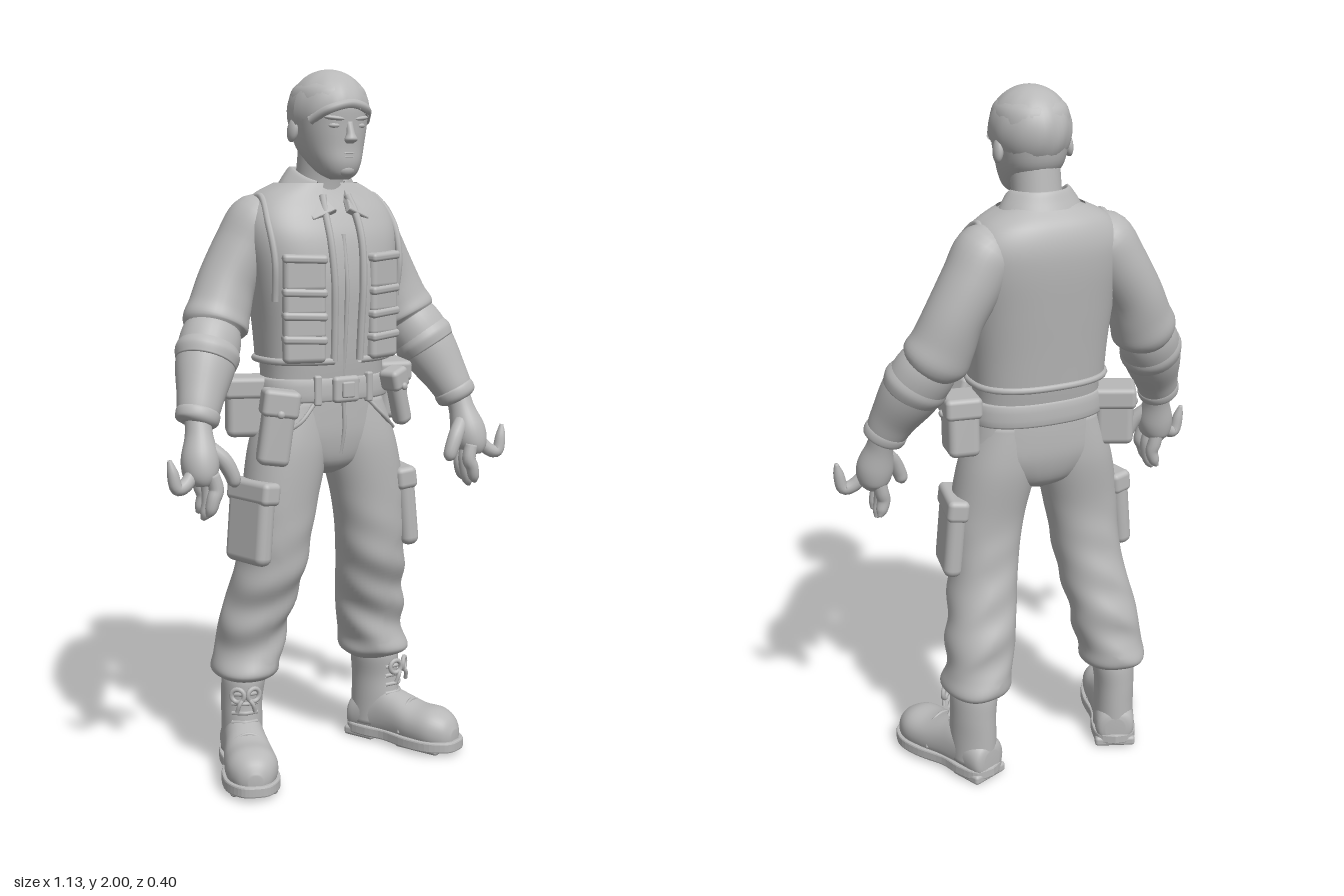
import * as THREE from 'three';
import { RoundedBoxGeometry } from 'three/addons/geometries/RoundedBoxGeometry.js';

const clay = new THREE.MeshStandardMaterial({ color: 0xb8b8b8, side: THREE.DoubleSide });
clay.name = 'plain grey';
const V3 = (x, y, z) => new THREE.Vector3(x, y, z);
const UP = V3(0, 1, 0);
const TAU = Math.PI * 2;

function mesh(name, geometry, x = 0, y = 0, z = 0, rx = 0, ry = 0, rz = 0) {
  const m = new THREE.Mesh(geometry, clay);
  m.name = name;
  m.position.set(x, y, z);
  m.rotation.set(rx, ry, rz);
  return m;
}
const box = (w, h, d, r = 0.012) => new RoundedBoxGeometry(w, h, d, 3, Math.min(r, w / 2.1, h / 2.1, d / 2.1));
const ball = (rx, ry, rz) => new THREE.SphereGeometry(1, 20, 14).scale(rx, ry, rz);
const tube = (pts, r, closed = false) =>
  new THREE.TubeGeometry(new THREE.CatmullRomCurve3(pts.map((p) => (p.isVector3 ? p : V3(...p))), closed), 40, r, 8, closed);

// point on a superellipse ring; row = [x, y, z, radius u, radius v]
function ringPoint(row, a, p = 2, U = V3(1, 0, 0), V = V3(0, 0, 1)) {
  const f = (c) => Math.sign(c) * Math.abs(c) ** (2 / p);
  return V3(row[0], row[1], row[2]).addScaledVector(U, row[3] * f(Math.cos(a))).addScaledVector(V, row[4] * f(Math.sin(a)));
}

// smooth skin through rings; dir fixes the ring normal, otherwise it follows the path
function loft(rows, { dir = null, steps = 5, seg = 32, p = 2, a0 = 0, a1 = TAU, warp = null } = {}) {
  const n = (rows.length - 1) * steps, closed = a1 - a0 > TAU - 1e-6, cols = closed ? seg : seg + 1;
  const at = (t) => {
    const i = Math.min(Math.floor(t), rows.length - 2), f = t - i;
    const [A, B, C, D] = [-1, 0, 1, 2].map((k) => rows[Math.max(0, Math.min(rows.length - 1, i + k))]);
    return B.map((b, k) => {
      const m0 = (C[k] - A[k]) / 2, m1 = (D[k] - b) / 2, d = C[k] - b;
      const v = b + f * (m0 + f * (3 * d - 2 * m0 - m1 + f * (m0 + m1 - 2 * d)));
      return k > 2 ? Math.max(v, 0.001) : v;
    });
  };
  const pos = [], idx = [];
  for (let i = 0; i <= n; i++) {
    const row = at(i / steps);
    const b = at(Math.max(0, i / steps - 0.1)), c = at(Math.min(rows.length - 1, i / steps + 0.1));
    const T = dir ? dir.clone() : V3(c[0] - b[0], c[1] - b[1], c[2] - b[2]).normalize();
    const hint = Math.abs(T.z) > 0.85 ? UP : V3(0, 0, 1);
    const V = hint.clone().addScaledVector(T, -hint.dot(T)).normalize();
    const U = T.clone().cross(V);
    for (let j = 0; j < cols; j++) {
      const v = ringPoint(row, a0 + ((a1 - a0) * j) / seg, p, U, V);
      if (warp) warp(v, row);
      pos.push(v.x, v.y, v.z);
      if (i < n && j < seg) {
        const q = i * cols + j, r = i * cols + ((j + 1) % cols);
        idx.push(q, q + cols, r, r, q + cols, r + cols);
      }
    }
  }
  if (closed) {
    const first = pos.length / 3, last = n * cols;
    pos.push(...rows[0].slice(0, 3), ...rows[rows.length - 1].slice(0, 3));
    for (let j = 0; j < seg; j++) {
      const k = (j + 1) % seg;
      idx.push(first, j, k, first + 1, last + k, last + j);
    }
  }
  const g = new THREE.BufferGeometry();
  g.setAttribute('position', new THREE.Float32BufferAttribute(pos, 3));
  g.setIndex(idx);
  g.computeVertexNormals();
  return g;
}

function pouch(name, w, h, d, x, y, z, ry, rz) {
  const g = new THREE.Group();
  g.name = name;
  g.position.set(x, y, z);
  g.rotation.set(0, ry, rz);
  g.add(mesh('pouchBody', box(w, h, d, 0.02)), mesh('pouchFlap', box(w + 0.014, h * 0.36, d + 0.014, 0.014), 0, h * 0.33, 0),
    mesh('pouchStud', ball(0.011, 0.011, 0.008), 0, h * 0.2, d / 2 + 0.007));
  return g;
}

function makeHead() {
  const g = new THREE.Group();
  g.name = 'head';
  g.add(mesh('neck', loft([[0, 1.6, -0.045, 0.08, 0.07], [0, 1.7, -0.03, 0.07, 0.066], [0, 1.8, -0.01, 0.07, 0.07]], { dir: UP })));
  g.add(mesh('skull', loft([[0, 1.7, 0.075, 0.025, 0.025], [0, 1.715, 0.065, 0.05, 0.05], [0, 1.745, 0.045, 0.07, 0.08],
    [0, 1.79, 0.022, 0.088, 0.103], [0, 1.845, 0.016, 0.1, 0.112], [0, 1.9, 0.015, 0.105, 0.115], [0, 1.95, 0.015, 0.092, 0.1],
    [0, 1.985, 0.015, 0.04, 0.05]], { dir: UP, p: 2.2 })));
  // hair cap: short over the brow, long at the nape, swept fringe
  const hair = new THREE.SphereGeometry(1, 48, 24), a = hair.attributes.position;
  for (let i = 0; i < a.count; i++) {
    const v = V3().fromBufferAttribute(a, i), phi = Math.atan2(v.x, v.z), back = (1 - Math.cos(phi)) / 2;
    const th = (Math.acos(THREE.MathUtils.clamp(v.y, -1, 1)) / Math.PI) * (1.42 + 0.85 * back ** 0.7 + 0.1 * Math.sin(phi * 2) * (1 - back));
    const r = 1 + 0.012 * Math.sin(phi * 11 + th * 4) * Math.sin(th);
    a.setXYZ(i, Math.sin(th) * Math.sin(phi) * 0.111 * r, 1.883 + Math.cos(th) * 0.117, 0.016 + Math.sin(th) * Math.cos(phi) * 0.124 * r);
  }
  hair.computeVertexNormals();
  g.add(mesh('hair', hair));
  g.add(mesh('fringe', tube([[-0.092, 1.86, 0.07], [-0.06, 1.89, 0.117], [0, 1.905, 0.13], [0.055, 1.892, 0.12], [0.094, 1.86, 0.06]], 0.013)));
  g.add(mesh('nose', loft([[0, 1.857, 0.122, 0.01, 0.008], [0, 1.825, 0.13, 0.012, 0.013], [0, 1.808, 0.132, 0.019, 0.017],
    [0, 1.798, 0.126, 0.01, 0.008]], { dir: V3(0, -1, 0), seg: 16 })));
  for (const y of [1.772, 1.762]) g.add(mesh('lip', ball(0.028, 0.006, 0.01), 0, y, 0.116));
  g.add(mesh('chin', ball(0.032, 0.022, 0.025), 0, 1.727, 0.098));
  for (const s of [-1, 1]) {
    g.add(mesh('brow', ball(0.03, 0.007, 0.012), s * 0.043, 1.866, 0.115, 0, s * 0.35, s * 0.1));
    g.add(mesh('eye', ball(0.018, 0.008, 0.01), s * 0.042, 1.846, 0.113, 0, s * 0.35, 0));
    g.add(mesh('ear', ball(0.014, 0.034, 0.021), s * 0.103, 1.835, -0.004, 0.15, 0, s * 0.12));
  }
  return g;
}

function makeTorso() {
  const g = new THREE.Group();
  g.name = 'torso';
  const p = 2.5, gap = 0.15;
  const body = [[0, 1.13, -0.02, 0.183, 0.115], [0, 1.2, -0.022, 0.183, 0.125], [0, 1.3, -0.024, 0.19, 0.133], [0, 1.42, -0.028, 0.205, 0.142],
    [0, 1.53, -0.04, 0.222, 0.14], [0, 1.6, -0.053, 0.215, 0.125], [0, 1.655, -0.06, 0.175, 0.1], [0, 1.69, -0.052, 0.11, 0.075],
    [0, 1.71, -0.045, 0.075, 0.06]];
  const shell = body.slice(1, 8).map(([x, y, z, a, b]) => [x, y, z, a + 0.012, b + 0.012]);
  g.add(mesh('shirt', loft(body, { dir: UP, p, seg: 48 })));
  g.add(mesh('vest', loft(shell, { dir: UP, p, seg: 56, a0: Math.PI / 2 + gap, a1: Math.PI / 2 + TAU - gap })));
  const hem = [];
  for (let i = 0; i <= 40; i++) hem.push(ringPoint(shell[0], Math.PI / 2 + gap + ((TAU - 2 * gap) * i) / 40, p));
  g.add(mesh('vestHem', tube(hem, 0.01)));
  g.add(mesh('shirtPlacket', tube([[0, 1.15, 0.092], [0, 1.3, 0.108], [0, 1.42, 0.113], [0, 1.55, 0.092]], 0.007)));
  for (const s of [-1, 1]) {
    g.add(mesh('vestEdge', tube(shell.slice(0, 6).map((r) => ringPoint(r, Math.PI / 2 + s * gap, p)), 0.011)));
    g.add(mesh('armholeSeam', tube([[s * 0.2, 1.37, 0.06], [s * 0.205, 1.48, 0.07], [s * 0.205, 1.58, 0.035], [s * 0.185, 1.655, -0.05],
      [s * 0.205, 1.58, -0.14], [s * 0.205, 1.45, -0.12]], 0.01)));
    // stacked chest pockets with overlapping flaps
    for (const [y, h] of [[1.235, 0.075], [1.3, 0.075], [1.365, 0.075], [1.445, 0.1]]) {
      g.add(mesh('vestPocket', box(0.12, h, 0.045, 0.016), s * 0.127, y, 0.092, -0.02, s * 0.36, 0));
      g.add(mesh('pocketFlap', box(0.126, 0.024, 0.05, 0.01), s * 0.127, y + h / 2 - 0.008, 0.095, 0.1, s * 0.36, 0));
    }
    // pointed collar wings
    const wing = new THREE.Shape([[0.004, 0], [0.034, 0.1], [0.058, 0.112], [0.1, 0.075], [0.07, -0.012]].map(([x, y]) => new THREE.Vector2(s * x, y)));
    const cloth = new THREE.ExtrudeGeometry(wing, { depth: 0.012, bevelSize: 0.004, bevelThickness: 0.004, bevelSegments: 2 });
    g.add(mesh('collarWing', cloth, s * 0.018, 1.612, 0.082, -0.75, s * 0.35, 0));
  }
  g.add(mesh('collar', loft([[0, 1.665, -0.045, 0.13, 0.1], [0, 1.705, -0.04, 0.108, 0.085], [0, 1.735, -0.033, 0.085, 0.076], [0, 1.715, -0.033, 0.074, 0.066]],
    { dir: UP, a0: Math.PI / 2 + 0.55, a1: Math.PI / 2 + TAU - 0.55, warp: (v) => { v.y -= 0.05 * Math.max(0, (v.z + 0.04) / 0.09); } })));
  // belt and gear
  g.add(mesh('belt', loft([[0, 1.085, -0.02, 0.19, 0.115], [0, 1.09, -0.02, 0.204, 0.126], [0, 1.145, -0.02, 0.2, 0.124], [0, 1.15, -0.02, 0.185, 0.112]], { dir: UP, p: 2.3, steps: 3, seg: 48 })));
  g.add(mesh('buckle', box(0.085, 0.075, 0.026), 0, 1.118, 0.108), mesh('buckleBar', box(0.04, 0.045, 0.012, 0.005), 0, 1.118, 0.123));
  for (const x of [-0.085, 0.085]) g.add(mesh('beltLoop', box(0.022, 0.085, 0.02, 0.006), x, 1.118, 0.096, 0, x * 3, 0));
  g.add(pouch('rightFrontPouch', 0.09, 0.21, 0.065, -0.218, 1.025, 0.095, -0.35, -0.14));
  g.add(pouch('rightRearPouch', 0.1, 0.17, 0.11, -0.222, 1.065, -0.075, -2.0, 0));
  g.add(pouch('leftFrontPouch', 0.052, 0.17, 0.05, 0.175, 1.085, 0.112, 0.3, 0.3));
  g.add(pouch('leftSidePouch', 0.12, 0.17, 0.09, 0.238, 1.09, -0.035, 1.4, 0.06));
  return g;
}

function makeArm() {
  const g = new THREE.Group();
  g.add(mesh('upperSleeve', loft([[0.14, 1.6, -0.075, 0.05, 0.06], [0.172, 1.582, -0.078, 0.086, 0.088], [0.217, 1.51, -0.085, 0.086, 0.088], [0.27, 1.42, -0.085, 0.083, 0.083],
    [0.3, 1.345, -0.075, 0.09, 0.083], [0.32, 1.3, -0.065, 0.095, 0.086], [0.33, 1.275, -0.055, 0.07, 0.07]])));
  g.add(mesh('forearm', loft([[0.305, 1.33, -0.07, 0.06, 0.06], [0.34, 1.27, -0.05, 0.086, 0.08], [0.378, 1.195, -0.018, 0.085, 0.078], [0.412, 1.12, 0.018, 0.068, 0.062],
    [0.432, 1.07, 0.038, 0.057, 0.054], [0.437, 1.055, 0.044, 0.045, 0.042]])));
  g.add(mesh('sleeveFold', loft([[0.352, 1.25, -0.04, 0.084, 0.078], [0.364, 1.225, -0.03, 0.093, 0.086], [0.376, 1.2, -0.019, 0.086, 0.079]])));
  g.add(mesh('wristBand', loft([[0.425, 1.088, 0.032, 0.052, 0.05], [0.43, 1.076, 0.036, 0.062, 0.058], [0.437, 1.056, 0.044, 0.06, 0.056], [0.441, 1.046, 0.047, 0.045, 0.04]])));
  g.add(mesh('palm', loft([[0.436, 1.07, 0.045, 0.036, 0.036], [0.442, 1.02, 0.062, 0.038, 0.04], [0.45, 0.96, 0.082, 0.052, 0.052], [0.455, 0.915, 0.092, 0.046, 0.05],
    [0.455, 0.89, 0.094, 0.026, 0.035]])));
  const finger = (name, pts, r) => g.add(mesh(name, loft(pts.map((q, i) => [...q, ...Array(2).fill(r * [1, 1.08, 1, 0.85, 0.3][i])]), { seg: 14 })));
  finger('thumb', [[0.425, 0.99, 0.085], [0.392, 0.955, 0.105], [0.37, 0.915, 0.112], [0.362, 0.89, 0.112], [0.36, 0.878, 0.11]], 0.021);
  for (let i = 0; i < 3; i++) {
    const z = 0.062 + i * 0.03, d = i === 1 ? 0 : 0.014;
    finger('finger', [[0.45 - i * 0.008, 0.92, z], [0.44 - i * 0.008, 0.88, z + 0.003], [0.434, 0.84 + d, z + 0.006], [0.442, 0.81 + d, z + 0.004], [0.45, 0.793 + d, z]], 0.019);
  }
  finger('outerFinger', [[0.47, 0.94, 0.095], [0.505, 0.9, 0.108], [0.537, 0.892, 0.115], [0.549, 0.935, 0.114], [0.556, 0.97, 0.11]], 0.018);
  return g;
}

function makeLeg() {
  const g = new THREE.Group();
  // soft cloth folds, stronger towards the cuff
  const folds = (v) => {
    const k = THREE.MathUtils.smoothstep(0.85 - v.y, 0, 0.5) * 0.006, w = Math.sin(v.y * 48 + v.x * 22 + v.z * 16) * k;
    v.x += w * Math.sign(v.x - 0.2) * 0.6;
    v.z += w;
  };
  g.add(mesh('trouserLeg', loft([[0.1, 1.08, -0.02, 0.08, 0.1], [0.118, 0.95, -0.015, 0.112, 0.11], [0.148, 0.8, -0.008, 0.11, 0.1], [0.16, 0.7, -0.012, 0.102, 0.1],
    [0.172, 0.6, -0.025, 0.099, 0.103], [0.19, 0.5, -0.055, 0.1, 0.1], [0.203, 0.42, -0.075, 0.1, 0.098], [0.215, 0.34, -0.085, 0.096, 0.1],
    [0.222, 0.29, -0.085, 0.096, 0.108], [0.222, 0.265, -0.085, 0.066, 0.072]], { dir: V3(0, -1, 0), steps: 8, seg: 40, p: 2.15, warp: folds })));
  g.add(mesh('cargoPocket', box(0.055, 0.21, 0.16, 0.024), 0.255, 0.735, 0.01, 0, -0.2, 0.09));
  g.add(mesh('cargoFlap', box(0.064, 0.065, 0.172, 0.016), 0.244, 0.835, 0.01, 0, -0.2, 0.12));
  g.add(mesh('hipSeam', tube([[0.09, 1.08, 0.087], [0.14, 1.03, 0.09], [0.205, 0.985, 0.045]], 0.006)));
  // boot, toes turned out
  const boot = new THREE.Group();
  boot.name = 'boot';
  boot.position.set(0.235, 0, -0.085);
  boot.rotation.y = 0.38;
  boot.add(mesh('bootShaft', loft([[0, 0.05, -0.004, 0.062, 0.074], [0, 0.13, 0, 0.06, 0.078], [0, 0.2, -0.002, 0.06, 0.075], [-0.006, 0.27, 0, 0.063, 0.076], [-0.008, 0.3, 0, 0.05, 0.06]], { dir: UP })));
  boot.add(mesh('bootFoot', loft([[0, 0.06, -0.078, 0.03, 0.035], [0, 0.065, -0.06, 0.058, 0.06], [0, 0.08, 0.03, 0.06, 0.085], [0, 0.078, 0.09, 0.064, 0.075], [0, 0.068, 0.16, 0.073, 0.063],
    [0, 0.066, 0.225, 0.073, 0.062], [0, 0.058, 0.27, 0.05, 0.048], [0, 0.05, 0.29, 0.02, 0.022]], { dir: V3(0, 0, 1), p: 2.2, warp: (v) => { v.y = Math.max(v.y, 0.02); } })));
  const outline = new THREE.Shape();
  outline.moveTo(0, 0.08);
  outline.splineThru([[0.05, 0.062], [0.062, 0], [0.058, -0.07], [0.075, -0.16], [0.072, -0.235], [0.04, -0.287], [0, -0.297], [-0.04, -0.287], [-0.072, -0.235],
    [-0.075, -0.16], [-0.058, -0.07], [-0.062, 0], [-0.05, 0.062], [0, 0.08]].map((q) => new THREE.Vector2(...q)));
  const sole = new THREE.ExtrudeGeometry(outline, { depth: 0.022, bevelSize: 0.005, bevelThickness: 0.005, bevelSegments: 2, curveSegments: 4 }).rotateX(-Math.PI / 2);
  boot.add(mesh('bootSole', sole, 0, 0.016, 0), mesh('bootHeel', box(0.122, 0.03, 0.105, 0.01), 0, 0.015, -0.024), mesh('frontTread', box(0.135, 0.022, 0.15, 0.01), 0, 0.014, 0.19));
  boot.add(mesh('toeSeam', tube([[-0.066, 0.05, 0.13], [-0.05, 0.112, 0.135], [0, 0.138, 0.135], [0.05, 0.112, 0.135], [0.066, 0.05, 0.13]], 0.005)));
  // laces and bow
  for (let i = 0; i < 4; i++) boot.add(mesh('lace', tube([[-0.036, 0.15 + i * 0.028, 0.062], [0, 0.153 + i * 0.028, 0.082], [0.036, 0.15 + i * 0.028, 0.062]], 0.006)));
  for (const s of [-1, 1]) {
    boot.add(mesh('bowLoop', new THREE.TorusGeometry(0.019, 0.007, 8, 18), s * 0.023, 0.238, 0.09, 0, s * 0.4, 0));
    boot.add(mesh('laceEnd', tube([[0, 0.235, 0.09], [s * 0.018, 0.215, 0.1], [s * 0.026, 0.19, 0.094]], 0.006)));
  }
  g.add(boot);
  return g;
}

export function createModel() {
  const model = new THREE.Group();
  model.name = 'fieldWorker';
  model.add(makeHead(), makeTorso());
  model.add(mesh('trouserSeat', loft([[0, 0.865, -0.015, 0.03, 0.04], [0, 0.9, -0.018, 0.13, 0.09], [0, 0.97, -0.022, 0.205, 0.112], [0, 1.05, -0.022, 0.2, 0.115], [0, 1.13, -0.02, 0.185, 0.112]], { dir: UP, p: 2.2 })));
  model.add(mesh('fly', tube([[0, 1.08, 0.098], [0.004, 1.0, 0.094], [0, 0.93, 0.08]], 0.006)));
  for (const [side, s] of [['left', 1], ['right', -1]]) {
    for (const [part, make] of [['Arm', makeArm], ['Leg', makeLeg]]) {
      const limb = make();
      limb.name = side + part;
      limb.scale.x = s;
      model.add(limb);
    }
  }
  return model;
}
